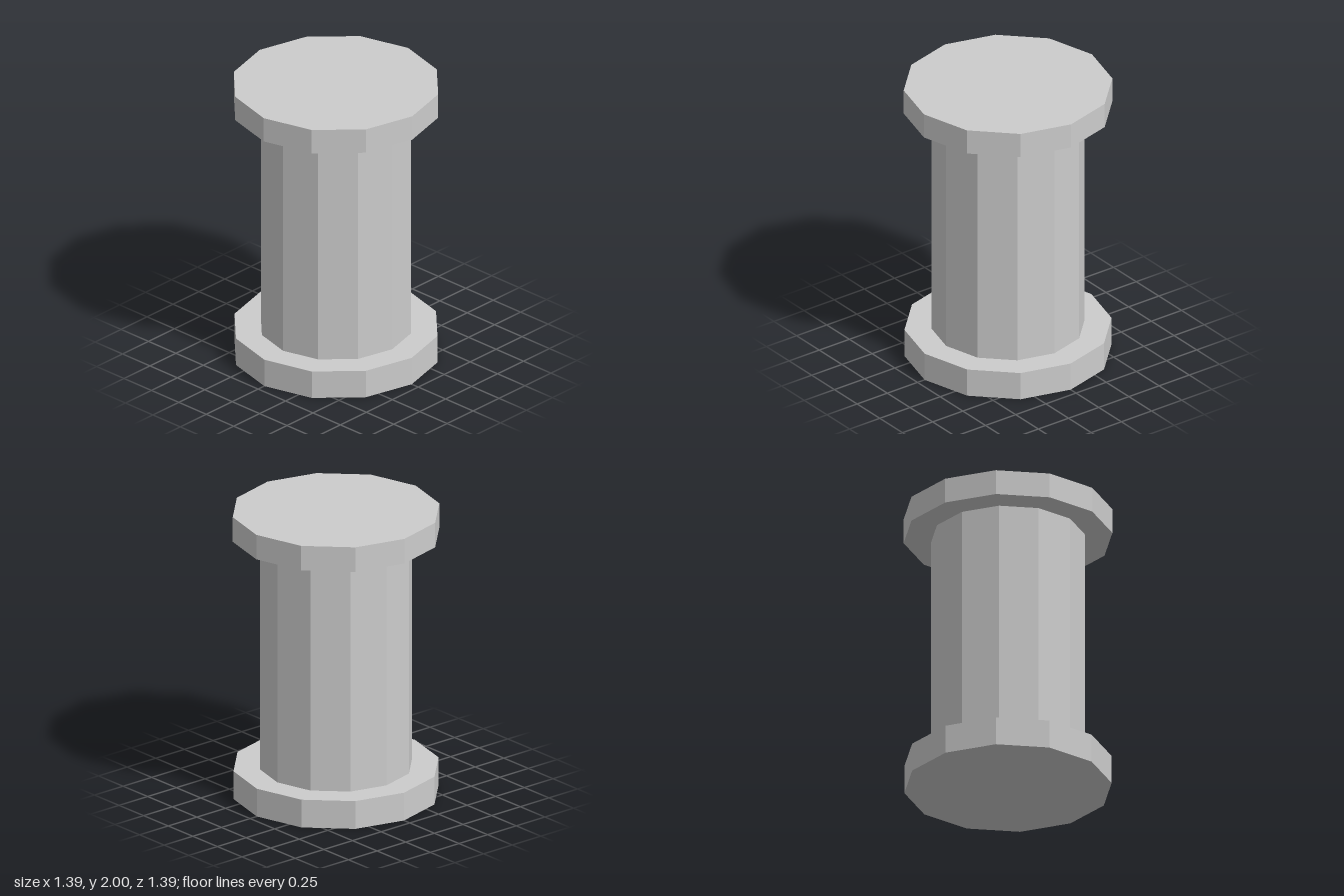
import * as THREE from 'three';

const SIDES = 12;

export function createModel() {
  const group = new THREE.Group();
  const stone = new THREE.MeshStandardMaterial({ color: 0xcccccc, flatShading: true });
  stone.name = 'pale grey stone';

  // Twelve-sided drum spanning the heights y0 to y1
  function drum(name, radius, y0, y1, open = false) {
    const geometry = new THREE.CylinderGeometry(radius, radius, y1 - y0, SIDES, 1, open);
    const mesh = new THREE.Mesh(geometry, stone);
    mesh.name = name;
    mesh.position.y = (y0 + y1) / 2;
    group.add(mesh);
  }

  drum('base', 0.691, 0, 0.197);
  drum('shaft', 0.512, 0.197, 1.826, true); // ends are hidden by base and capital
  drum('capital', 0.696, 1.826, 2);

  return group;
}
